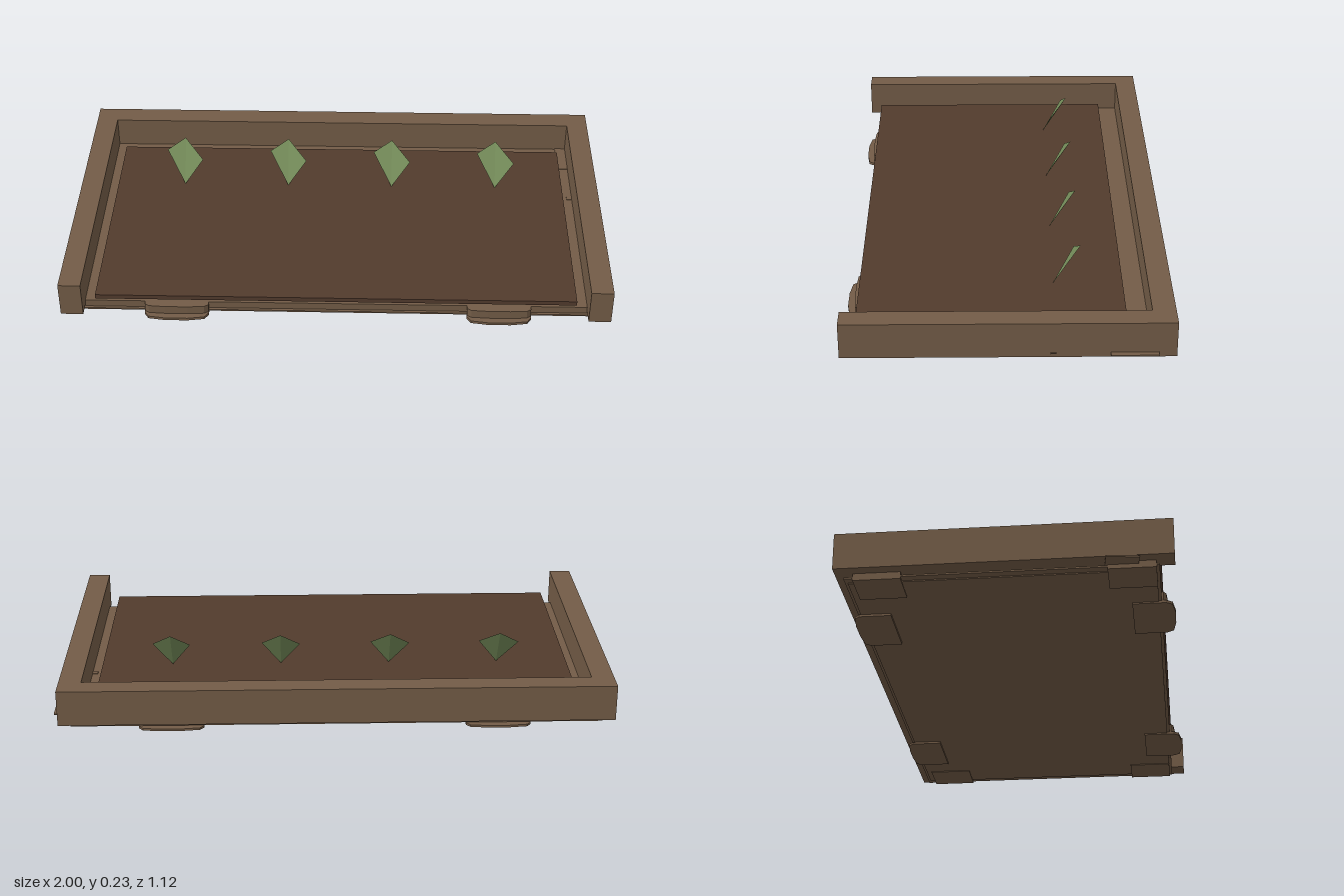
import * as THREE from 'three';

export function createModel() {
  const model = new THREE.Group();
  const wood = new THREE.MeshStandardMaterial({ name: 'wood brown', color: 0x735c47 });
  const soil = new THREE.MeshStandardMaterial({ name: 'soil brown', color: 0x523b2d });
  const green = new THREE.MeshStandardMaterial({ name: 'leaf green', color: 0x738a58, side: THREE.DoubleSide });

  // Box given by its extents on each axis
  function box(name, material, [x0, x1], [y0, y1], [z0, z1]) {
    const mesh = new THREE.Mesh(new THREE.BoxGeometry(x1 - x0, y1 - y0, z1 - z0), material);
    mesh.position.set((x0 + x1) / 2, (y0 + y1) / 2, (z0 + z1) / 2);
    mesh.name = name;
    model.add(mesh);
    return mesh;
  }

  // Three-sided frame, open at the front
  box('backWall', wood, [-0.9, 0.9], [0.03, 0.16], [-0.56, -0.48]);
  box('leftWall', wood, [0.9, 0.98], [0.03, 0.16], [-0.56, 0.56]);
  box('rightWall', wood, [-0.98, -0.9], [0.03, 0.16], [-0.56, 0.56]);

  // Floor, its thin rim and the soil sheet above it
  box('floor', wood, [-0.91, 0.91], [0.008, 0.045], [-0.52, 0.5]);
  box('floorRim', wood, [-0.94, 0.94], [0.012, 0.018], [-0.53, 0.51]);
  box('soilBed', soil, [-0.86, 0.86], [0.066, 0.083], [-0.405, 0.515]);

  // Rounded flat stones; the outline points outwards along +z
  function slab(name, width, depth, y, height) {
    const w = width / 2;
    const shape = new THREE.Shape();
    [[-w, 0.1], [w, 0.1], [w, -depth * 0.3], [w * 0.87, -depth * 0.8], [w * 0.35, -depth],
      [-w * 0.35, -depth], [-w * 0.87, -depth * 0.8], [-w, -depth * 0.3]]
      .forEach(([px, py], i) => (i ? shape.lineTo(px, py) : shape.moveTo(px, py)));
    const geometry = new THREE.ExtrudeGeometry(shape, { depth: height, bevelEnabled: false });
    geometry.rotateX(-Math.PI / 2).translate(0, y, 0);
    const mesh = new THREE.Mesh(geometry, wood);
    mesh.name = name;
    return mesh;
  }

  // Stones along the front edge and thin ones under the back edge
  for (const x of [-0.57, 0.585]) {
    const front = new THREE.Group();
    front.name = 'frontStone';
    front.add(slab('stoneBase', 0.23, 0.045, 0.003, 0.01), slab('stoneTop', 0.228, 0.02, 0.013, 0.032));
    front.position.set(x, 0, 0.51);
    model.add(front);

    const back = slab('backStone', 0.23, 0.035, 0, 0.008);
    back.position.set(x, 0, -0.515);
    back.rotation.y = Math.PI;
    model.add(back);
  }

  // Thin flat stones poking out at the sides
  box('leftSideStone', wood, [0.86, 1], [0.043, 0.048], [-0.5, -0.34]);
  box('leftSideChip', wood, [0.88, 0.985], [0.044, 0.048], [-0.16, -0.14]);
  box('rightSideStone', wood, [-0.99, -0.86], [0.02, 0.026], [0.33, 0.44]).rotation.y = 0.12;
  for (const side of [-1, 1]) {
    for (const z of [-0.42, 0.42]) {
      box('cornerFoot', wood, side < 0 ? [-0.94, -0.8] : [0.8, 0.94], [0.005, 0.03], [z - 0.08, z + 0.08]);
    }
  }

  // Row of kite-shaped sprouts leaning backwards
  const leaf = new THREE.BufferGeometry();
  leaf.setAttribute('position', new THREE.Float32BufferAttribute([
    0, 0.083, -0.16, 0.07, 0.178, -0.19, 0, 0.235, -0.255, -0.07, 0.192, -0.235], 3));
  leaf.setIndex([0, 1, 2, 0, 2, 3]);
  const flatLeaf = leaf.toNonIndexed();
  flatLeaf.computeVertexNormals();
  for (const x of [-0.6, -0.2, 0.2, 0.6]) {
    const sprout = new THREE.Mesh(flatLeaf, green);
    sprout.name = 'sprout';
    sprout.position.x = x;
    model.add(sprout);
  }

  return model;
}
